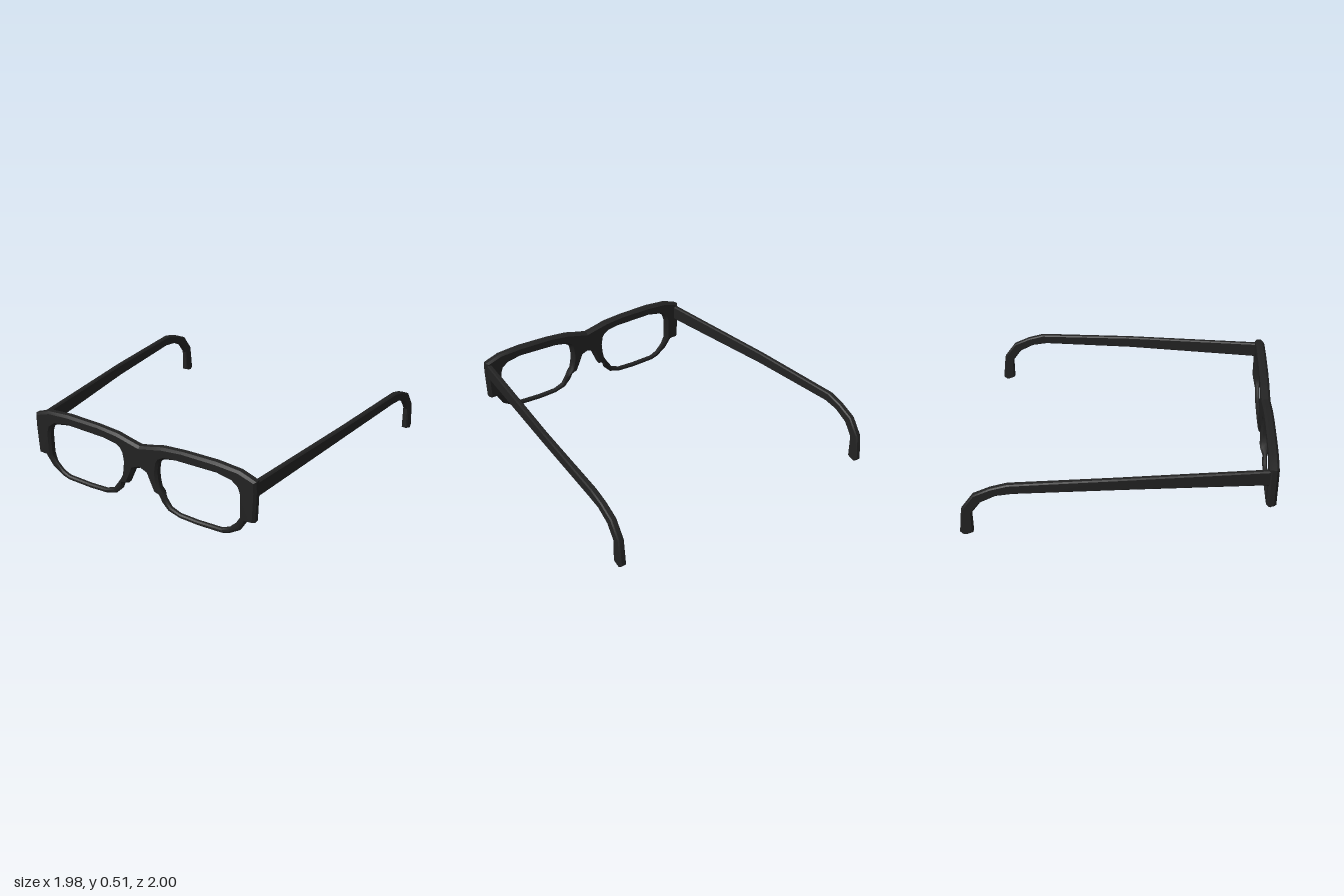
import * as THREE from 'three';
import { toCreasedNormals } from 'three/addons/utils/BufferGeometryUtils.js';

const material = new THREE.MeshStandardMaterial({ color: 0x222222 });

// Skin a list of cross-section loops; ring = last section joins the first, otherwise ends are capped
function loft(sections, ring) {
  const n = sections[0].length, m = sections.length, index = [];
  const p = sections.flat();
  for (let i = 0; i < (ring ? m : m - 1); i++) {
    for (let j = 0; j < n; j++) {
      const a = i * n + j, b = i * n + (j + 1) % n;
      const c = ((i + 1) % m) * n + j, d = ((i + 1) % m) * n + (j + 1) % n;
      index.push(a, b, d, a, d, c);
    }
  }
  if (!ring) {
    const e = (m - 1) * n;
    for (let j = 1; j < n - 1; j++) index.push(0, j + 1, j, e, e + j, e + j + 1);
  }
  // turn the faces outward if the signed volume is negative
  let volume = 0;
  const v = p.map((q) => new THREE.Vector3(...q));
  for (let i = 0; i < index.length; i += 3) {
    volume += v[index[i]].dot(v[index[i + 1]].clone().cross(v[index[i + 2]]));
  }
  if (volume < 0) index.reverse();
  const g = new THREE.BufferGeometry();
  g.setAttribute('position', new THREE.Float32BufferAttribute(p.flat(), 3));
  g.setIndex(index);
  return toCreasedNormals(g, 0.6);
}

// Rim stations around one lens: inner x, inner y, outer x, outer y
const rimStations = [
  // bridge top and brow
  [0.14, 0.37, 0, 0.455], [0.155, 0.395, 0.09, 0.475], [0.19, 0.418, 0.17, 0.495],
  [0.27, 0.433, 0.33, 0.508], [0.565, 0.44, 0.565, 0.513], [0.67, 0.42, 0.73, 0.5],
  // end piece, stepping in to the thin rim
  [0.715, 0.385, 0.842, 0.46], [0.73, 0.34, 0.845, 0.385], [0.73, 0.19, 0.837, 0.18],
  [0.73, 0.18, 0.783, 0.18],
  // thin lower rim
  [0.7, 0.13, 0.73, 0.09], [0.65, 0.08, 0.65, 0.04], [0.597, 0.056, 0.6, 0.026],
  [0.42, 0.05, 0.42, 0.02], [0.29, 0.055, 0.29, 0.026], [0.225, 0.08, 0.205, 0.05],
  [0.19, 0.13, 0.155, 0.1],
  // nose pad and underside of the bridge
  [0.165, 0.165, 0.14, 0.155], [0.145, 0.2, 0.1, 0.16], [0.135, 0.25, 0.06, 0.25],
  [0.13, 0.31, 0.045, 0.285], [0.135, 0.34, 0, 0.3],
];

function rimGeometry(side) {
  const sections = rimStations.map(([ix, iy, ox, oy]) => {
    const h = oy > 0.15 ? 0.031 : 0.016;
    const zc = oy > 0.15 ? 0.969 : 0.973;
    const dx = ox - ix, dy = oy - iy, w = Math.hypot(dx, dy);
    const b = Math.min(0.016, w * 0.3) / w;
    const inner = [ix, iy], innerBevel = [ix + dx * b, iy + dy * b];
    // at the centre plane the bevel only moves up or down, so both halves meet
    const outer = [ox, oy];
    const outerBevel = ox === 0 ? [0, oy - Math.sign(dy) * 0.016] : [ox - dx * b, oy - dy * b];
    const at = ([x, y], k) => [side * x, y, zc + h * k];
    return [
      at(inner, 0.5), at(innerBevel, 1), at(outerBevel, 1), at(outer, 0.5),
      at(outer, -0.5), at(outerBevel, -1), at(innerBevel, -1), at(inner, -0.5),
    ];
  });
  return loft(sections, true);
}

// Temple stations: centre x, top z, top y, bottom z, bottom y
const templeStations = [
  [0.818, 0.95, 0.445, 0.95, 0.338], [0.915, 0, 0.42, 0, 0.338],
  [0.967, -0.68, 0.393, -0.65, 0.326], [0.968, -0.79, 0.36, -0.757, 0.307],
  [0.969, -0.9, 0.307, -0.855, 0.254], [0.969, -0.98, 0.195, -0.915, 0.17],
  [0.969, -1, 0.018, -0.915, 0.018], [0.969, -0.982, 0, -0.945, 0.006],
];

function templeGeometry(side) {
  const sections = templeStations.map(([x, tz, ty, bz, by], i) => {
    const hw = i < 2 ? 0.018 : 0.021, c = 0.008;
    const t = c / Math.hypot(tz - bz, ty - by);
    const at = (dx, k) => [side * (x + dx), ty + (by - ty) * k, tz + (bz - tz) * k];
    return [
      at(hw - c, 0), at(hw, t), at(hw, 1 - t), at(hw - c, 1),
      at(c - hw, 1), at(-hw, 1 - t), at(-hw, t), at(c - hw, 0),
    ];
  });
  return loft(sections, false);
}

export function createModel() {
  const model = new THREE.Group();
  model.name = 'eyeglasses';
  for (const [side, label] of [[1, 'left'], [-1, 'right']]) {
    const rim = new THREE.Mesh(rimGeometry(side), material);
    rim.name = label + 'RimAndHalfBridge';
    const temple = new THREE.Mesh(templeGeometry(side), material);
    temple.name = label + 'Temple';
    model.add(rim, temple);
  }
  return model;
}
